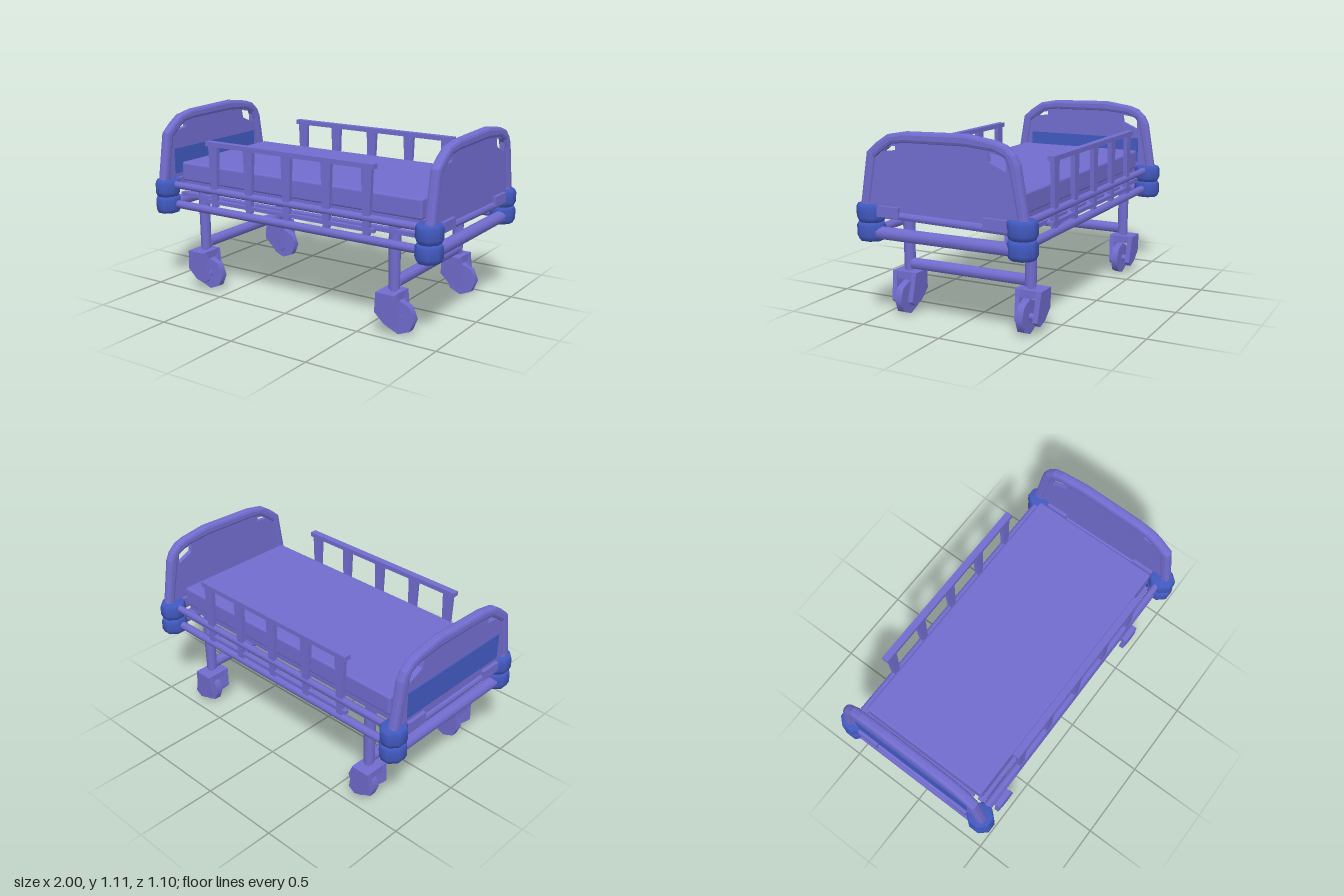
import * as THREE from 'three';
import { RoundedBoxGeometry } from 'three/addons/geometries/RoundedBoxGeometry.js';

export function createModel() {
  const model = new THREE.Group();
  const purple = new THREE.MeshStandardMaterial({ color: 0x716cce });
  purple.name = 'purple';
  const blue = new THREE.MeshStandardMaterial({ color: 0x4159c0 });
  blue.name = 'blue';

  function add(name, geo, x = 0, y = 0, z = 0, mat = purple, parent = model) {
    const mesh = new THREE.Mesh(geo, mat);
    mesh.name = name;
    mesh.position.set(x, y, z);
    parent.add(mesh);
    return mesh;
  }
  const box = (w, h, d) => new THREE.BoxGeometry(w, h, d);
  // Round bar along x or z
  const bar = (r, length, axis) => {
    const g = new THREE.CylinderGeometry(r, r, length, 10);
    return axis === 'x' ? g.rotateZ(Math.PI / 2) : g.rotateX(Math.PI / 2);
  };
  const pts = list => list.map(([a, b]) => new THREE.Vector2(a, b));
  // Plate drawn in (-z, y), given a thickness along x
  function endPlate(outline, holes, thickness, bevel) {
    const shape = new THREE.Shape(pts(outline));
    for (const h of holes) shape.holes.push(new THREE.Path(pts(h)));
    return new THREE.ExtrudeGeometry(shape, {
      depth: thickness - 2 * bevel, bevelEnabled: bevel > 0, bevelSize: bevel,
      bevelThickness: bevel, bevelOffset: -bevel, bevelSegments: 2,
    }).translate(0, 0, bevel - thickness / 2).rotateY(Math.PI / 2);
  }

  // Mattress and the deck under it
  add('mattress', new RoundedBoxGeometry(1.7, 0.12, 0.84, 2, 0.015), 0, 0.74, 0);
  add('deck', box(1.64, 0.025, 0.78), 0, 0.68, 0);
  for (const z of [-0.38, 0.38]) {
    add('deckEdge', box(1.66, 0.035, 0.05), 0, 0.66, z);
    add('innerRail', box(1.7, 0.025, 0.04), 0, 0.597, z * 1.08);
  }
  for (const x of [-0.83, -0.45, 0, 0.45, 0.83])
    add('deckSlat', box(0.06, 0.035, 0.74), x, 0.655, 0);

  // Head and foot boards
  const outline = [[-0.5, 0.62], [0.5, 0.6], [0.515, 0.68], [0.465, 0.97], [0.44, 1.02],
    [0.39, 1.065], [0.33, 1.085], [0.16, 1.11], [-0.22, 1.1], [-0.33, 1.08],
    [-0.4, 1.035], [-0.465, 0.98], [-0.515, 0.68]];
  const inner = [[-0.45, 0.66], [0.45, 0.65], [0.455, 0.7], [0.405, 0.95], [0.385, 1.0],
    [0.32, 1.03], [0.15, 1.045], [-0.21, 1.04], [-0.3, 1.03], [-0.36, 0.99],
    [-0.41, 0.95], [-0.455, 0.7]];
  const panel = outline.map(([a, b]) => [a * 0.96, 0.84 + (b - 0.84) * 0.94]);
  const backHole = [[0.29, 0.975], [0.39, 0.93], [0.39, 0.985], [0.37, 1.012], [0.28, 1.025]];
  const frontHole = [[-0.36, 0.985], [-0.28, 0.995], [-0.28, 1.02], [-0.32, 1.015]];
  for (const s of [-1, 1]) {
    const board = new THREE.Group();
    board.name = s < 0 ? 'headboard' : 'footboard';
    board.position.x = s * 0.94;
    model.add(board);
    add('boardFrame', endPlate(outline, [inner], 0.058, 0.018), 0, 0, 0, purple, board);
    add('boardPanel', endPlate(panel, [backHole, frontHole], 0.028, 0), 0, 0, 0, purple, board);
    for (const z of [-0.33, 0.33])
      add('boardBracket', box(0.07, 0.06, 0.14), 0, 0.655, z, purple, board);
    add('endRail', bar(0.037, 0.84, 'z'), 0, 0.528, 0, purple, board);
    // Blue inlay on both faces of the headboard
    if (s < 0) for (const f of [-1, 1])
      add('boardInlay', box(0.006, 0.16, 0.8), f * 0.016, 0.79, 0, blue, board);
  }

  // Two-tier corner bumpers
  for (const sx of [-1, 1]) for (const sz of [-1, 1]) for (const y of [0.533, 0.638]) {
    const profile = pts([[0, -0.052], [0.068, -0.052], [0.08, -0.025], [0.08, 0.03], [0.07, 0.05], [0, 0.05]]);
    const bumper = add('cornerBumper', new THREE.LatheGeometry(profile, 8, Math.PI / 8), sx * 0.927, y, sz * 0.47, blue);
    bumper.scale.set(0.96, 1, 1.06);
  }

  // Side rails and fold-up guards
  const postShape = new THREE.Shape(pts([[-0.02, 0.565], [0.02, 0.565], [0.034, 0.95], [-0.034, 0.95]]));
  const postGeo = new THREE.ExtrudeGeometry(postShape, { depth: 0.026, bevelEnabled: false })
    .translate(0, 0, -0.013);
  for (const s of [-1, 1]) {
    add('upperSideRail', bar(0.022, 1.74, 'x'), 0, 0.66, s * 0.465);
    add('lowerSideRail', bar(0.025, 1.74, 'x'), 0, 0.533, s * 0.455);
    const guard = new THREE.Group();
    guard.name = 'sideGuard';
    guard.position.z = s * 0.468;
    model.add(guard);
    add('guardTop', box(1.18, 0.028, 0.042), 0, 0.953, 0, purple, guard);
    add('guardBottom', box(1.18, 0.022, 0.026), 0, 0.595, 0, purple, guard);
    for (const x of [-0.54, -0.275, 0, 0.275, 0.54]) {
      add('guardPost', postGeo, x, 0, 0, purple, guard);
      add('guardHinge', bar(0.02, 0.06, 'z'), x, 0.59, -s * 0.02, purple, guard);
    }
  }

  // Legs, cross bars and casters
  const housingShape = new THREE.Shape(pts([[-0.07, 0.25], [0.05, 0.25], [0.06, 0.18],
    [0.08, 0.08], [0.04, 0.05], [-0.02, 0.07], [-0.08, 0.13]]));
  const cheekGeo = new THREE.ExtrudeGeometry(housingShape, { depth: 0.03, bevelEnabled: false })
    .translate(0, 0, -0.015);
  for (const x of [-0.695, 0.675]) {
    add('legCrossBar', bar(0.034, 0.74, 'z'), x, 0.293, 0);
    add('legTopBeam', box(0.07, 0.03, 0.8), x, 0.628, 0);
    for (const s of [-1, 1]) {
      add('leg', new THREE.CylinderGeometry(0.036, 0.032, 0.36, 10), x, 0.44, s * 0.392);
      const caster = new THREE.Group();
      caster.name = 'caster';
      caster.position.set(x, 0, s * 0.4);
      model.add(caster);
      add('casterStem', new THREE.CylinderGeometry(0.02, 0.02, 0.06, 8), 0, 0.25, 0, purple, caster);
      add('casterCap', box(0.12, 0.045, 0.14), -0.01, 0.227, 0, purple, caster);
      for (const f of [-1, 1]) {
        const cheek = add('casterCheek', cheekGeo, 0, 0, f * 0.05, purple, caster);
        cheek.rotation.x = f * 0.06;
      }
      add('casterWheel', new THREE.CylinderGeometry(0.1, 0.1, 0.042, 8).rotateX(Math.PI / 2),
        0.04, 0.1, -s * 0.012, purple, caster);
      add('casterAxle', bar(0.02, 0.1, 'z'), 0.04, 0.1, 0, purple, caster);
    }
  }
  return model;
}
